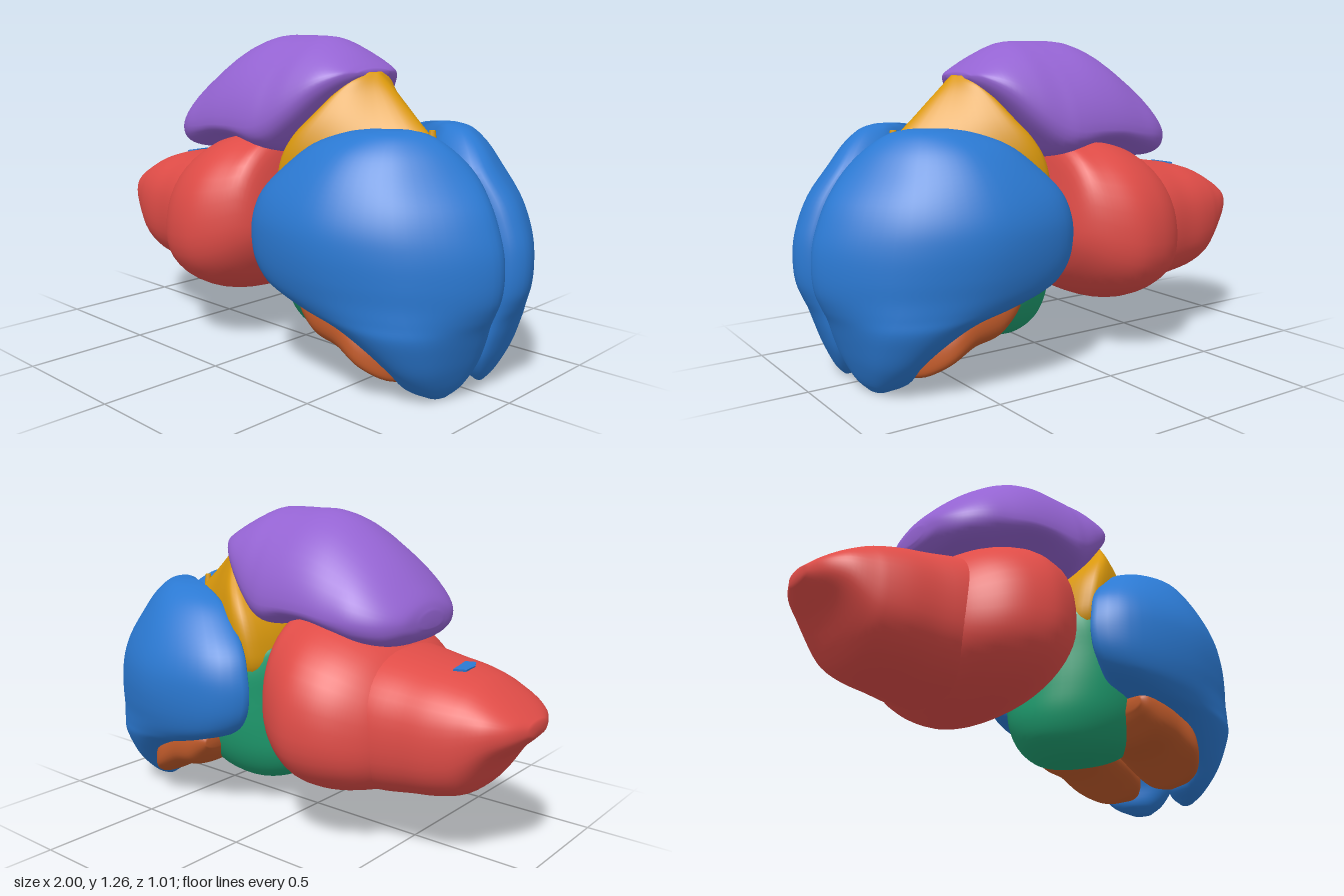
import * as THREE from 'three';

const V = (x, y, z) => new THREE.Vector3(x, y, z);

// Smooth closed body through a row of matching rings, capped at both ends
function loft(rings, around = 48, steps = 5) {
  const fine = rings.map(r => {
    const loop = new THREE.CatmullRomCurve3(r, true);
    return Array.from({ length: around }, (_, i) => loop.getPoint(i / around));
  });
  const rows = (fine.length - 1) * steps;
  const columns = Array.from({ length: around }, (_, i) =>
    new THREE.CatmullRomCurve3(fine.map(r => r[i])).getPoints(rows));
  const points = [], index = [];
  for (let j = 0; j <= rows; j++) for (let i = 0; i < around; i++) points.push(columns[i][j]);
  for (let j = 0; j < rows; j++) {
    for (let i = 0; i < around; i++) {
      const k = (i + 1) % around, a = j * around, b = a + around;
      index.push(a + i, a + k, b + i, a + k, b + k, b + i);
    }
  }
  for (const [j, flip] of [[0, false], [rows, true]]) {
    const centre = V(0, 0, 0), c = points.length;
    for (let i = 0; i < around; i++) centre.addScaledVector(points[j * around + i], 1 / around);
    points.push(centre);
    for (let i = 0; i < around; i++) {
      const a = j * around + i, b = j * around + (i + 1) % around;
      if (flip) index.push(c, a, b); else index.push(c, b, a);
    }
  }
  // Turn the faces outward whichever way the rings run
  let volume = 0;
  for (let i = 0; i < index.length; i += 3) {
    const [a, b, c] = [0, 1, 2].map(n => points[index[i + n]]);
    volume += a.dot(b.clone().cross(c));
  }
  if (volume < 0) index.reverse();
  const geometry = new THREE.BufferGeometry().setFromPoints(points);
  geometry.setIndex(index);
  geometry.computeVertexNormals();
  return geometry;
}

// Upright rings along x: [x, bottom, top, height of widest line, half width, z centre]
function ringsAlongX(stations, lower, upper) {
  return stations.map(([x, y0, y1, ym, hw, zc = 0]) =>
    Array.from({ length: 20 }, (_, i) => {
      const t = i / 20 * Math.PI * 2, c = Math.cos(t), s = Math.sin(t);
      const e = s < 0 ? lower : upper;
      const round = v => Math.sign(v) * Math.abs(v) ** e;
      return V(x, ym + round(s) * (s < 0 ? ym - y0 : y1 - ym), zc + round(c) * hw);
    }));
}

// Level rings along y: [y, x0, x1, z0, z1, blend], each a stretched mix of two outlines
const ringsAlongY = (stations, outline, side = 1, other = outline) =>
  stations.map(([y, x0, x1, z0, z1, blend = 0]) =>
    outline.map(([u, v], i) => {
      const mu = u + (other[i][0] - u) * blend, mv = v + (other[i][1] - v) * blend;
      return V(x0 + (x1 - x0) * mu, y, side * (z0 + (z1 - z0) * mv));
    }));

export function createModel() {
  const model = new THREE.Group();
  const paint = (name, color) => {
    const m = new THREE.MeshStandardMaterial({ color });
    m.name = name;
    return m;
  };
  const purple = paint('purple', 0x9463d2), red = paint('red', 0xdf4c47);
  const blue = paint('blue', 0x2b79d2), yellow = paint('amber', 0xdb990c);
  const green = paint('green', 0x1f9e70), orange = paint('rust', 0xc05a2a);
  const add = (name, geometry, material) => {
    const mesh = new THREE.Mesh(geometry, material);
    mesh.name = name;
    model.add(mesh);
    return mesh;
  };

  // Domed cap on top, its rear underside slanting upward
  add('upperLobe', loft(ringsAlongX([
    [-0.547, 0.85, 0.91, 0.88, 0.07],
    [-0.53, 0.82, 0.95, 0.88, 0.17],
    [-0.48, 0.785, 1.01, 0.88, 0.25],
    [-0.4, 0.785, 1.09, 0.89, 0.305],
    [-0.3, 0.82, 1.17, 0.9, 0.33],
    [-0.2, 0.85, 1.23, 0.915, 0.342],
    [-0.1, 0.85, 1.26, 0.92, 0.344],
    [0.02, 0.81, 1.262, 0.92, 0.338],
    [0.08, 0.81, 1.262, 0.94, 0.322],
    [0.17, 0.885, 1.255, 1.0, 0.29],
    [0.27, 1.0, 1.21, 1.08, 0.235],
    [0.335, 1.075, 1.165, 1.12, 0.165],
    [0.365, 1.115, 1.14, 1.13, 0.08],
  ], 0.78, 1.12)), purple);

  // Tapering front part
  add('frontLobe', loft(ringsAlongX([
    [-1, 0.53, 0.58, 0.555, 0.06],
    [-0.96, 0.49, 0.61, 0.55, 0.15],
    [-0.9, 0.43, 0.65, 0.54, 0.21],
    [-0.82, 0.31, 0.695, 0.51, 0.25],
    [-0.78, 0.275, 0.71, 0.5, 0.267],
    [-0.7, 0.25, 0.73, 0.49, 0.29],
    [-0.6, 0.235, 0.745, 0.49, 0.305],
    [-0.45, 0.215, 0.77, 0.49, 0.33],
    [-0.2, 0.21, 0.8, 0.5, 0.3],
  ], 0.8, 0.85)), red);

  // Broad side bulges behind it
  add('sideLobes', loft(ringsAlongX([
    [-0.56, 0.34, 0.6, 0.45, 0.22],
    [-0.51, 0.26, 0.71, 0.45, 0.315],
    [-0.45, 0.225, 0.775, 0.45, 0.38],
    [-0.38, 0.205, 0.82, 0.46, 0.43],
    [-0.3, 0.19, 0.855, 0.47, 0.46],
    [-0.2, 0.195, 0.88, 0.48, 0.467],
    [-0.1, 0.24, 0.885, 0.5, 0.425],
    [-0.02, 0.32, 0.88, 0.53, 0.36],
    [0.02, 0.4, 0.72, 0.53, 0.29],
    [0.04, 0.46, 0.59, 0.52, 0.16],
  ], 0.88, 0.88)), red);

  // Small inlay on the front part
  const patch = new THREE.Shape([
    [-0.02, -0.02], [-0.025, 0.05], [0.01, 0.085], [0.02, 0.02], [0.03, -0.03], [0, -0.06],
  ].map(p => new THREE.Vector2(...p)));
  const inlay = add('topInlay',
    new THREE.ExtrudeGeometry(patch, { depth: 0.008, bevelEnabled: false }), blue);
  inlay.rotation.set(-Math.PI / 2, -0.15, 0);
  inlay.position.set(-0.705, 0.725, 0);

  // Large paired rear lobes: a crescent in plan, filling out to a foot below
  const crescent = [
    [0, 0.68], [0.08, 0.86], [0.24, 0.97], [0.45, 1], [0.62, 0.92], [0.78, 0.76],
    [0.89, 0.56], [0.97, 0.34], [1, 0.16], [0.95, 0.02], [0.72, 0.01],
    [0.55, 0.16], [0.4, 0.38], [0.2, 0.55], [0.06, 0.62],
  ];
  const foot = [
    [0, 0.78], [0.03, 0.9], [0.15, 0.98], [0.38, 1], [0.6, 0.94], [0.78, 0.81],
    [0.9, 0.6], [0.98, 0.36], [1, 0.17], [0.94, 0.02], [0.7, 0],
    [0.5, 0.05], [0.3, 0.18], [0.12, 0.36], [0.02, 0.58],
  ];
  const rear = [
    [0.003, 0.755, 0.81, 0.1, 0.165, 1],
    [0.04, 0.7, 0.845, 0.055, 0.235, 1],
    [0.12, 0.675, 0.885, 0.012, 0.315, 1],
    [0.2, 0.6, 0.915, -0.002, 0.375, 1],
    [0.27, 0.49, 0.94, -0.003, 0.422, 0.95],
    [0.32, 0.31, 0.965, -0.004, 0.45, 0.8],
    [0.38, 0.15, 0.99, -0.004, 0.475, 0.4],
    [0.45, 0.09, 1, -0.004, 0.493, 0.15],
    [0.54, 0.07, 0.995, -0.004, 0.503],
    [0.62, 0.08, 0.972, -0.004, 0.498],
    [0.7, 0.11, 0.935, -0.004, 0.473],
    [0.8, 0.2, 0.86, -0.004, 0.418],
    [0.88, 0.3, 0.785, 0.04, 0.35],
    [0.93, 0.43, 0.71, 0.09, 0.27],
    [0.945, 0.52, 0.65, 0.13, 0.21],
  ];

  // Paired strips tucked under the rear lobes
  const strip = [
    [0.31, 0.27, 0.32, 0.3, 0.08, 0.27],
    [0.34, 0.22, 0.36, 0.3, 0.16, 0.21],
    [0.4, 0.165, 0.38, 0.27, 0.18, 0.2],
    [0.5, 0.14, 0.36, 0.24, 0.187, 0.19],
    [0.6, 0.092, 0.3, 0.17, 0.185, 0.185],
    [0.67, 0.055, 0.22, 0.12, 0.145, 0.165],
    [0.71, 0.055, 0.13, 0.09, 0.08, 0.15],
  ];
  for (const [side, word] of [[1, 'left'], [-1, 'right']]) {
    add(word + 'RearLobe', loft(ringsAlongY(rear, crescent, side, foot)), blue);
    add(word + 'LowerStrip', loft(ringsAlongX(
      strip.map(([x, a, b, m, w, z]) => [x, a, b, m, w, z * side]), 0.8, 0.8)), orange);
  }

  // Wedge between the rear lobes and the cap
  const wedge = [
    [0, 0], [0.02, 0.6], [0.1, 1], [0.35, 0.86], [0.7, 0.46], [1, 0],
    [0.7, -0.46], [0.35, -0.86], [0.1, -1], [0.02, -0.6],
  ];
  add('middleWedge', loft(ringsAlongY([
    [0.45, 0.2, 0.6, 0, 0.16],
    [0.62, 0.07, 0.7, 0, 0.27],
    [0.72, 0.07, 0.74, 0, 0.29],
    [0.82, 0.1, 0.725, 0, 0.29],
    [0.9, 0.155, 0.635, 0, 0.27],
    [0.97, 0.22, 0.555, 0, 0.23],
    [1.05, 0.285, 0.47, 0, 0.165],
    [1.1, 0.335, 0.415, 0, 0.11],
    [1.13, 0.36, 0.385, 0, 0.04],
  ], wedge)), yellow);
  add('wedgeKnob', new THREE.CylinderGeometry(0.012, 0.026, 0.12, 14), yellow)
    .position.set(0.638, 0.872, 0);

  // Central stem at the bottom
  const oval = Array.from({ length: 16 }, (_, i) => {
    const t = i / 16 * Math.PI * 2;
    return [0.5 + 0.5 * Math.cos(t), Math.sin(t)];
  });
  add('lowerStem', loft(ringsAlongY([
    [0.1, 0.16, 0.27, 0, 0.07],
    [0.125, 0.1, 0.38, 0, 0.15],
    [0.17, 0.04, 0.5, 0, 0.21],
    [0.25, 0.005, 0.56, 0, 0.26],
    [0.36, 0, 0.56, 0, 0.29],
    [0.5, 0.005, 0.5, 0, 0.3],
    [0.62, 0.01, 0.4, 0, 0.29],
    [0.7, 0.035, 0.25, 0, 0.24],
    [0.72, 0.06, 0.18, 0, 0.15],
  ], oval)), green);

  return model;
}
